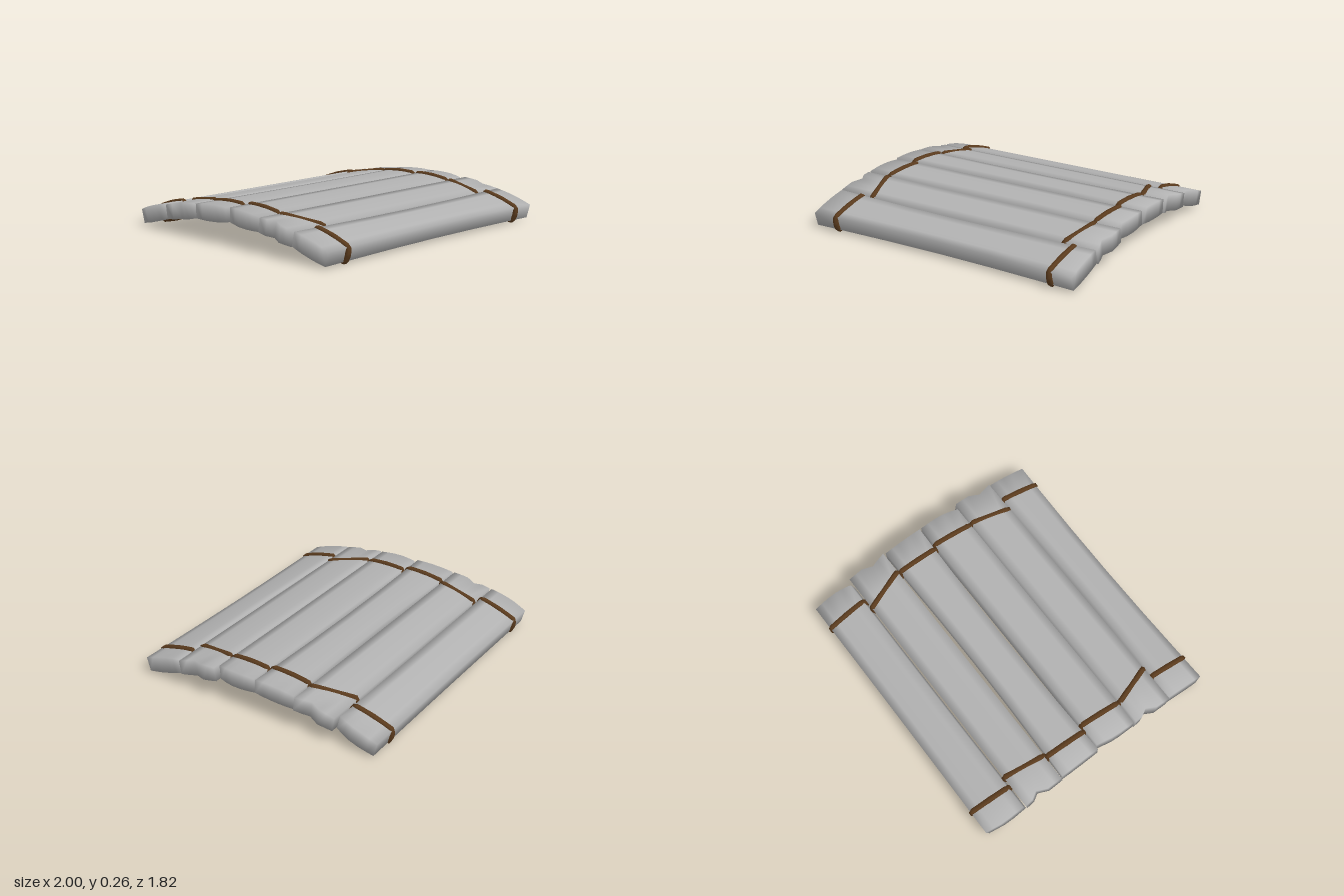
import * as THREE from 'three';

const HALF_WIDTH = 0.147, EDGE = 0.048, CROWN = 0.056;
const ACROSS = [-1, -0.6, -0.25, 0.25, 0.6, 1];   // back to front over one plank

// End outlines: distance of the sawn end from the middle at each ACROSS step
const SLANTED = { left: [0.97, 0.98, 0.99, 0.995, 0.995, 0.995], right: [0.99, 0.99, 0.99, 0.985, 0.975, 0.96], waist: 0.02 };
const NOTCHED = { left: [1, 0.995, 0.965, 1, 1, 1], right: [1, 1, 1, 0.968, 0.985, 1], waist: 0.01 };
const WAISTED = { left: Array(6).fill(0.995), right: Array(6).fill(0.99), waist: 0.13 };

// Each plank: centre z, centre y, tilt, shape, and rope x at its back and front edges
const PLANKS = [
  { z: -0.747, y: 0.118, tilt: -0.27, shape: SLANTED, left: [0.81, 0.81], right: [-0.805, -0.83] },
  { z: -0.447, y: 0.177, tilt: -0.155, shape: NOTCHED, left: [0.735, 0.825], right: [-0.765, -0.81] },
  { z: -0.147, y: 0.208, tilt: -0.05, shape: WAISTED, left: [0.815, 0.805], right: [-0.83, -0.845] },
  { z: 0.155, y: 0.208, tilt: 0.05, shape: SLANTED, left: [0.83, 0.81], right: [-0.805, -0.825] },
  { z: 0.457, y: 0.177, tilt: 0.155, shape: NOTCHED, left: [0.815, 0.765], right: [-0.825, -0.735] },
  { z: 0.745, y: 0.118, tilt: 0.27, shape: WAISTED, left: [0.845, 0.83], right: [-0.81, -0.82] },
];

const crown = v => EDGE + (CROWN - EDGE) * (1 - v * v);

// Softly rounded board lofted along x, with shaped ends
function plankGeometry({ left, right, waist }) {
  const stations = [-1, -0.8, -0.4, 0, 0.4, 0.8, 1];
  const n = ACROSS.length, ring = 2 * n;
  const positions = [], index = [];
  stations.forEach((s, i) => {
    const width = HALF_WIDTH * (1 - waist * Math.cos(s * Math.PI / 2));
    for (let j = 0; j < ring; j++) {
      const k = j < n ? j : ring - 1 - j;
      const v = ACROSS[k];
      const x = i === 0 ? -left[k] : i === stations.length - 1 ? right[k] : s;
      positions.push(x, (j < n ? 1 : -1) * crown(v), v * width);
    }
  });
  for (let i = 0; i < stations.length - 1; i++) {
    for (let j = 0; j < ring; j++) {
      const a = i * ring + j, b = i * ring + (j + 1) % ring;
      index.push(a, b, b + ring, a, b + ring, a + ring);
    }
  }
  const last = (stations.length - 1) * ring;
  for (let j = 0; j < n - 1; j++) {
    const t0 = j, t1 = j + 1, b0 = ring - 1 - j, b1 = ring - 2 - j;
    index.push(last + t0, last + t1, last + b1, last + t0, last + b1, last + b0);
    index.push(t0, b1, t1, t0, b0, b1);
  }
  const geometry = new THREE.BufferGeometry();
  geometry.setAttribute('position', new THREE.Float32BufferAttribute(positions, 3));
  geometry.setIndex(index);
  geometry.computeVertexNormals();
  return geometry;
}

// Closed rope loop around one plank; slanted loops sink into the top
function ropeGeometry([xBack, xFront], sunk) {
  const mid = (xBack + xFront) / 2;
  const top = EDGE - 0.004, drop = sunk ? 0.008 : 0;
  const w = HALF_WIDTH;
  const points = [
    [xBack, top, -w + 0.012], [mid, CROWN - 0.004 - drop, 0], [xFront, top, w - 0.012],
    [xFront, 0, w],
    [xFront, -EDGE, w - 0.012], [mid, -CROWN, 0], [xBack, -EDGE, -w + 0.012],
    [xBack, 0, -w],
  ].map(p => new THREE.Vector3(...p));
  const path = new THREE.CatmullRomCurve3(points, true, 'catmullrom', 0.1);
  return new THREE.TubeGeometry(path, 48, 0.021, 6, true);
}

export function createModel() {
  const wood = new THREE.MeshStandardMaterial({ name: 'weathered grey', color: 0xb2b2b2 });
  const rope = new THREE.MeshStandardMaterial({ name: 'rope brown', color: 0x5c3c1e });
  const model = new THREE.Group();
  model.name = 'plankBridge';

  for (const { z, y, tilt, shape, left, right } of PLANKS) {
    const section = new THREE.Group();
    section.name = 'bridgeSection';
    section.position.set(0, y, z);
    section.rotation.x = tilt;

    const plank = new THREE.Mesh(plankGeometry(shape), wood);
    plank.name = 'plank';
    section.add(plank);

    for (const [name, ends] of [['leftRope', left], ['rightRope', right]]) {
      const loop = new THREE.Mesh(ropeGeometry(ends, shape === NOTCHED), rope);
      loop.name = name;
      section.add(loop);
    }
    model.add(section);
  }
  return model;
}
